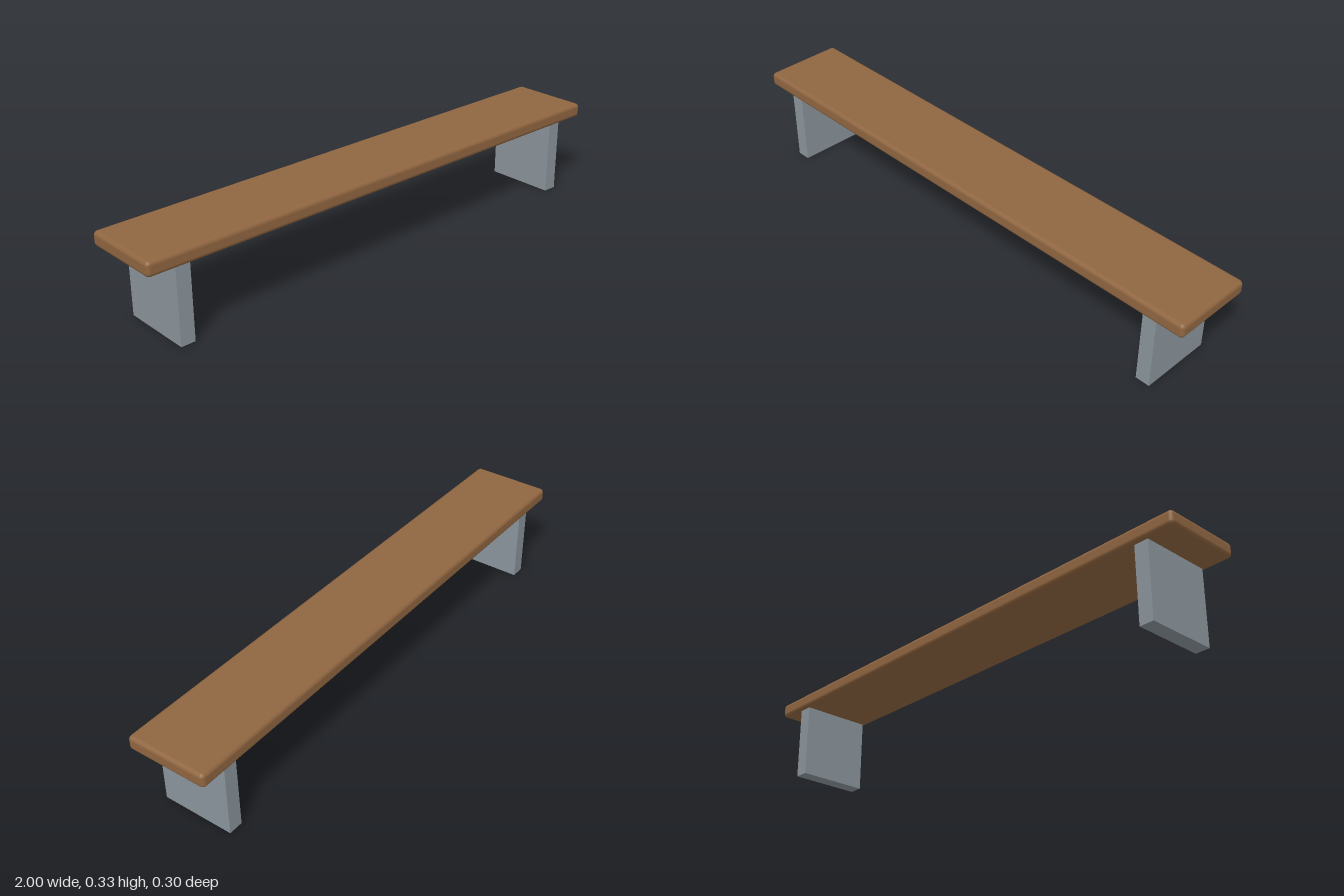
import * as THREE from 'three';
import { RoundedBoxGeometry } from 'three/addons/geometries/RoundedBoxGeometry.js';

export function createModel() {
  const bench = new THREE.Group();
  bench.name = 'bench';

  const wood = new THREE.MeshStandardMaterial({ color: 0x8f6540 });
  wood.name = 'brown wood';
  const concrete = new THREE.MeshStandardMaterial({ color: 0x8a949b });
  concrete.name = 'grey concrete';

  // Long plank with softly rounded edges
  const bottom = 0.278, top = 0.331;
  const seat = new THREE.Mesh(new RoundedBoxGeometry(2, top - bottom, 0.3, 4, 0.015), wood);
  seat.name = 'seat';
  seat.position.y = (top + bottom) / 2;
  bench.add(seat);

  // Slab legs, mirrored left and right
  const legGeometry = new THREE.BoxGeometry(0.053, bottom, 0.267);
  for (const side of [1, -1]) {
    const leg = new THREE.Mesh(legGeometry, concrete);
    leg.name = side > 0 ? 'leftLeg' : 'rightLeg';
    leg.position.set(side * 0.867, bottom / 2, 0);
    bench.add(leg);
  }

  return bench;
}
